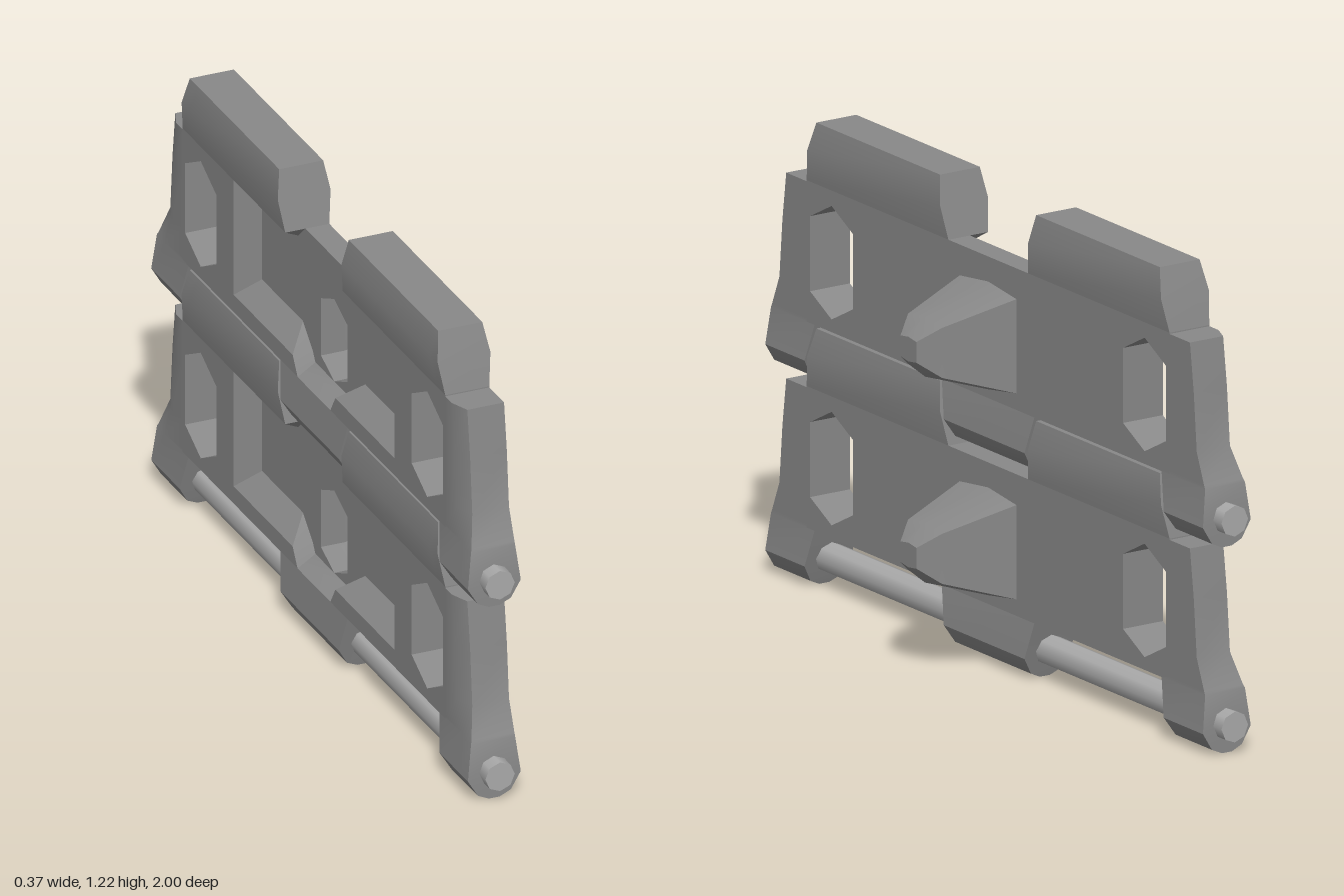
import * as THREE from 'three';
import { toCreasedNormals } from 'three/addons/utils/BufferGeometryUtils.js';

const bodyMaterial = new THREE.MeshStandardMaterial({ color: 0x888888, side: THREE.DoubleSide });
const pinMaterial = new THREE.MeshStandardMaterial({ color: 0xaaaaaa });
const PITCH = 0.535, PIN_X = -0.115, PIN_Y = 0.08;
const FRONT = -0.055, FLOOR = -0.12, BACK = -0.175;
const BOTTOM = 0.162, TOP = 0.53, CREASE = 0.6;

// Skin over matching rings of points, with optional start cap
function loft(rings, capStart = true) {
  const out = [];
  const tri = (...points) => points.forEach(p => out.push(...p));
  const n = rings[0].length;
  for (let r = 0; r + 1 < rings.length; r++) {
    const a = rings[r], b = rings[r + 1];
    for (let i = 0; i < n; i++) {
      const j = (i + 1) % n;
      tri(a[i], a[j], b[j]);
      tri(a[i], b[j], b[i]);
    }
  }
  const first = rings[0], last = rings[rings.length - 1];
  for (let i = 1; i + 1 < n; i++) {
    if (capStart) tri(first[0], first[i + 1], first[i]);
    tri(last[0], last[i], last[i + 1]);
  }
  const geometry = new THREE.BufferGeometry();
  geometry.setAttribute('position', new THREE.Float32BufferAttribute(out, 3));
  return toCreasedNormals(geometry, CREASE);
}

// Block stacked upwards from rows of [y, zInner, zOuter, xFront, xBack, outer back chamfer]
function block(rows, side = 1) {
  return loft(rows.map(([y, z0, z1, xf, xb, c = 0]) => {
    const ring = [[xb + c, y, z1], [xf, y, z1], [xf, y, z0], [xb, y, z0], [xb, y, z1 - 0.05]];
    return side > 0 ? ring : ring.map(([x, yy, z]) => [x, yy, -z]).reverse();
  }));
}

// Pointed-top hexagon, as [z, y] pairs
function hexagon(z, y, halfWidth, halfHeight, shoulder) {
  return [[z, y + halfHeight], [z + halfWidth, y + shoulder], [z + halfWidth, y - shoulder],
    [z, y - halfHeight], [z - halfWidth, y - shoulder], [z - halfWidth, y + shoulder]];
}

// Slab with holes, drawn in z and y and thickened along x
function slab(outline, holes, x0, x1) {
  const points = list => list.map(([z, y]) => new THREE.Vector2(-z, y));
  const shape = new THREE.Shape(points(outline));
  holes.forEach(h => shape.holes.push(new THREE.Path(points(h))));
  const geometry = new THREE.ExtrudeGeometry(shape, { depth: x1 - x0, bevelEnabled: false });
  return geometry.rotateY(Math.PI / 2).translate(x0, 0, 0);
}

function createLink() {
  const link = new THREE.Group();
  const add = (name, geometry, material = bodyMaterial) => {
    const mesh = new THREE.Mesh(geometry, material);
    mesh.name = name;
    link.add(mesh);
  };
  const window = side => hexagon(side * 0.69, 0.3425, 0.095, 0.1475, 0.0975);
  const pocket = hexagon(0, 0.3, 0.08, 0.115, 0.08);

  // Outer face plate, pierced by the side windows and the horn pocket
  add('facePlate', slab([[-0.8, BOTTOM], [0.8, BOTTOM], [0.8, TOP], [-0.8, TOP]],
    [window(1), window(-1), pocket], FLOOR, FRONT));

  for (const side of [1, -1]) {
    // Thick frame beside the recess, its inner wall sloping to the recess floor
    const frame = slab([[0.49, BOTTOM], [0.8, BOTTOM], [0.8, TOP], [0.49, TOP]].map(([z, y]) => [side * z, y]),
      [window(side)], BACK, FLOOR);
    const p = frame.attributes.position;
    for (let i = 0; i < p.count; i++) {
      if (Math.abs(p.getZ(i)) < 0.5 && p.getX(i) > FLOOR - 0.01) p.setZ(i, side * 0.44);
    }
    frame.computeVertexNormals();
    add('sideFrame', frame);

    // End ear running down into the outer hinge knuckle
    add('endEar', block([
      [0.006, 0.81, 0.965, -0.1, -0.13],
      [0.02, 0.805, 0.965, -0.07, -0.16],
      [0.065, 0.792, 0.965, -0.043, -0.187],
      [BOTTOM, 0.765, 0.957, FRONT, BACK],
      [0.17, 0.8, 0.953, FRONT, BACK, 0.003],
      [0.25, 0.8, 0.92, FRONT, BACK, 0.02],
      [0.4, 0.8, 0.907, FRONT, BACK, 0.02],
      [0.527, 0.8, 0.89, FRONT, BACK, 0.02],
    ], side));

    // Upper hinge knuckle, its underside sloping into the recess
    add('upperKnuckle', block([
      [0.49, 0.22, 0.58, -0.06, FLOOR],
      [TOP, 0.175, 0.8, FRONT, BACK],
      [0.615, 0.194, 0.78, -0.043, -0.187],
      [0.69, 0.212, 0.757, FRONT, BACK],
    ], side));

    // Sloping sill along the bottom of the recess, dipping towards the horn pocket
    add('recessSill', block([
      [BOTTOM, 0.1, 0.5, -0.1, BACK],
      [0.21, 0.13, 0.5, -0.1, BACK],
      [0.265, 0.19, 0.48, -0.1, FLOOR],
    ], side));
  }

  // Central hinge knuckle, falling away to the recess floor below the pocket
  add('centreKnuckle', block([
    [0.006, -0.163, 0.163, -0.1, -0.13],
    [0.02, -0.167, 0.167, -0.07, -0.16],
    [0.065, -0.178, 0.178, -0.043, -0.187],
    [BOTTOM, -0.204, 0.204, FRONT, BACK],
    [0.185, -0.13, 0.13, -0.06, FLOOR],
  ]));

  // Guide horn tapering to a blunt tip: rows of [x, half width, mid top, corner top, corner bottom, mid bottom]
  add('guideHorn', loft([
    [FRONT, 0.125, 0.465, 0.45, 0.205, 0.185],
    [0.135, 0.075, 0.405, 0.395, 0.265, 0.25],
    [0.185, 0.035, 0.362, 0.357, 0.303, 0.298],
  ].map(([x, w, mt, ct, cb, mb]) =>
    [[x, mt, 0], [x, ct, w], [x, cb, w], [x, mb, 0], [x, cb, -w], [x, ct, -w]]), false));

  // Hollow in the back of the horn
  const hollow = [[FLOOR, 1], [FRONT, 1], [0.06, 0.75]].map(([x, k]) =>
    pocket.map(([z, y]) => [x, 0.3 + (y - 0.3) * k + (1 - k) * 0.08, z * k]).reverse());
  add('hornHollow', loft(hollow, false));

  // Hinge pin along the full width
  const pin = new THREE.CylinderGeometry(0.04, 0.04, 2, 8);
  pin.rotateX(Math.PI / 2).translate(PIN_X, PIN_Y, 0);
  add('hingePin', pin, pinMaterial);
  return link;
}

export function createModel() {
  const model = new THREE.Group();
  model.name = 'trackSection';
  ['lowerLink', 'upperLink'].forEach((name, i) => {
    const link = createLink();
    link.name = name;
    link.position.y = i * PITCH;
    model.add(link);
  });
  return model;
}
